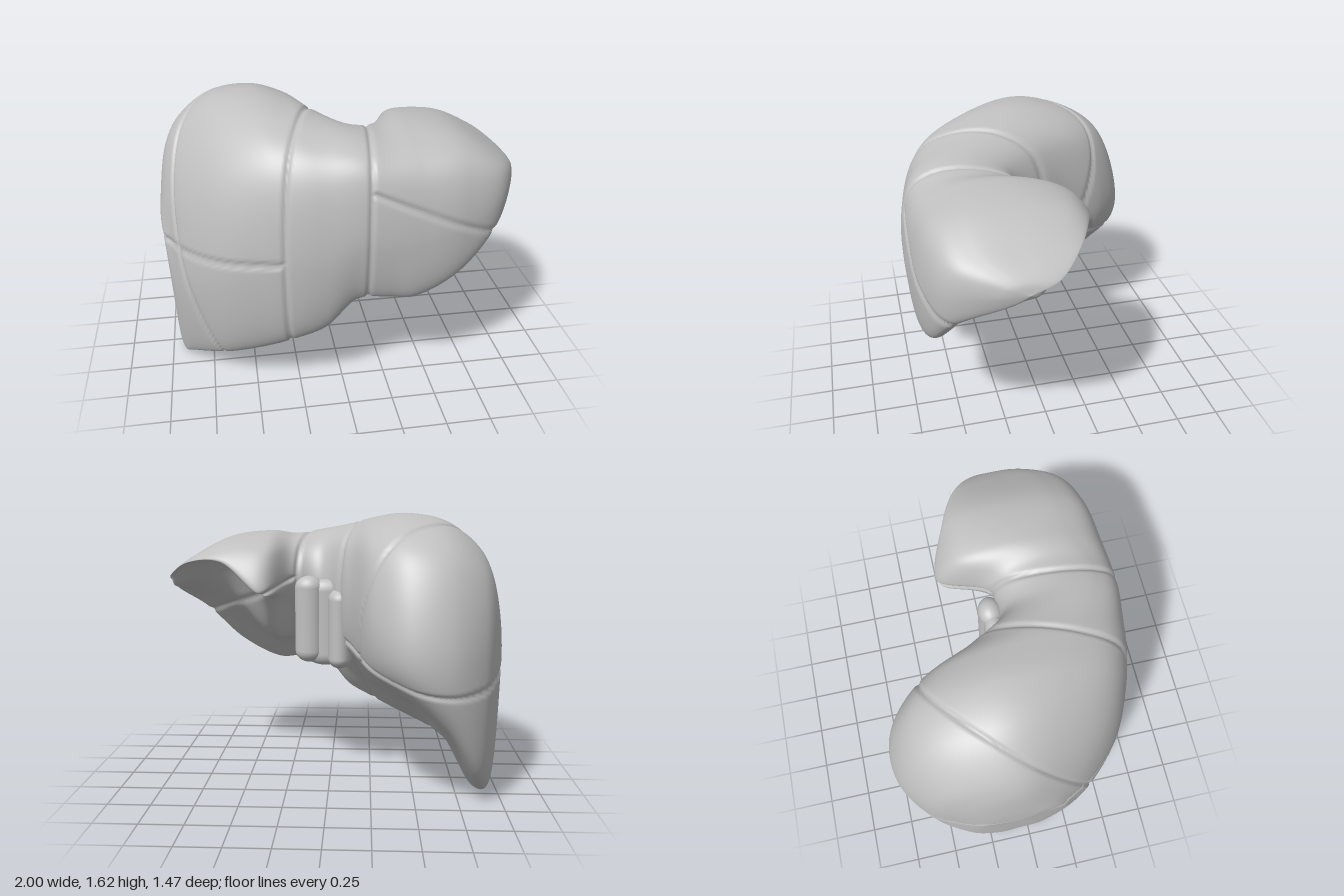
import * as THREE from 'three';

const { lerp, smoothstep } = THREE.MathUtils;
const RIGHT_END = new THREE.Vector3(-1, 0.82, -0.1);
const LEFT_END = new THREE.Vector3(1, 1.19, 0.22);

// Profiles along x: front and back depth, then heights of top, lower border, rear border, hollow
const X = [-0.98, -0.93, -0.85, -0.66, -0.43, -0.25, -0.11, 0.06, 0.22, 0.37, 0.62, 0.84, 0.975];
const FRONT = [0.12, 0.26, 0.39, 0.565, 0.665, 0.71, 0.725, 0.735, 0.74, 0.735, 0.7, 0.6, 0.36];
const BACK = [-0.27, -0.42, -0.57, -0.71, -0.715, -0.56, -0.23, 0.03, 0, -0.265, -0.18, -0.07, 0.07];
const TOP = [1.04, 1.29, 1.43, 1.57, 1.608, 1.58, 1.54, 1.505, 1.48, 1.5, 1.47, 1.355, 1.25];
const BORDER = [0.7, 0.04, 0.1, 0.2, 0.3, 0.38, 0.45, 0.63, 0.635, 0.625, 0.75, 0.98, 1.13];
const REAR = [0.84, 0.85, 0.88, 0.9, 0.95, 1.05, 1.15, 1.2, 1.25, 1.17, 1.345, 1.33, 1.24];
const HOLLOW = [0.68, 0.01, 0.04, 0.36, 0.6, 0.68, 0.76, 0.81, 0.84, 0.88, 1.13, 1.19, 1.17];

// Cross-section at one station: rounded arcs over the top, a hollow below
function section(x, i) {
  const p = (z, y) => new THREE.Vector3(x, y, z);
  const border = p(FRONT[i] - 0.09 + 0.05 * x, BORDER[i]);
  const front = p(FRONT[i], lerp(BORDER[i], TOP[i], 0.4));
  const top = p(lerp(FRONT[i], BACK[i], 0.58), TOP[i]);
  const back = p(BACK[i], REAR[i]);
  const hollow = p(lerp(BACK[i], border.z, 0.4), HOLLOW[i]);
  const arc = (side, angle, power) => p(
    lerp(top.z, side.z, Math.cos(angle) ** power), lerp(side.y, top.y, Math.sin(angle) ** power));
  // the front shoulder grows squarer away from the right end
  const square = lerp(0.92, 0.62, smoothstep(x, -0.9, -0.25));
  // the rear border is thick on the right side and thin on the left
  const thin = smoothstep(x, 0.1, 0.35);
  const lowBack = p(
    lerp(back.z, hollow.z, lerp(0.2, 0.4, thin)), lerp(back.y, hollow.y, lerp(0.75, 0.1, thin)));
  const bell = (centre, width) => Math.exp(-(((x - centre) / width) ** 2));
  const dome = 0.11 * bell(-0.64, 0.12) + 0.05 * bell(0.35, 0.2);
  const hollowFront = p(lerp(hollow.z, border.z, 0.52), (hollow.y + border.y) / 2 + dome);
  return [border, front, arc(front, 0.58, square), arc(front, 1.17, square), top, arc(back, 0.785, 1),
    back, lowBack, hollow, hollowFront];
}

// Depth of the furrows that divide the body into segments
function furrow({ x, y, z }) {
  const middle = (x + 0.1 + 0.34 * z) / 1.06;
  const left = (x - 0.2 + 0.13 * z) / 1.01;
  const cuts = [middle, left];
  if (left > 0) cuts.push((y - 1.28 + 0.457 * (x - 0.12)) / 1.1);
  if (middle < 0) {
    cuts.push((z + 0.115 + 0.918 * x + 0.457 * y) / 1.43);
    cuts.push(y - 0.93 - 0.1 * x - 0.25 * Math.min(z, 0));
  }
  const d = Math.min(...cuts.map(Math.abs));
  return 0.014 * Math.exp(-((d / 0.013) ** 2));
}

// Smooth skin through the sections, closed to a point at both ends
function bodyGeometry() {
  const along = 230, around = 300;
  const sections = X.map(section);
  const rails = sections[0].map((_, k) => new THREE.CatmullRomCurve3(
    [RIGHT_END, ...sections.map((s) => s[k]), LEFT_END]));
  const points = [], index = [];
  for (let i = 0; i <= along; i++) {
    const ring = new THREE.CatmullRomCurve3(
      rails.map((r) => r.getPoint(i / along)), true, 'catmullrom', 0.5);
    for (let j = 0; j < around; j++) {
      const end = i === 0 ? RIGHT_END : i === along ? LEFT_END : null;
      points.push(end || ring.getPoint(j / around));
      if (i === along) continue;
      const a = i * around + j, d = i * around + (j + 1) % around;
      const b = a + around, c = d + around;
      if (i < along - 1) index.push(a, b, c);
      if (i > 0) index.push(a, c, d);
    }
  }
  const geo = new THREE.BufferGeometry().setFromPoints(points);
  geo.setIndex(index);
  geo.computeVertexNormals();

  // press in the furrows
  const normal = new THREE.Vector3();
  points.forEach((point, i) => {
    normal.fromBufferAttribute(geo.attributes.normal, i).multiplyScalar(-furrow(point));
    normal.add(point);
    geo.attributes.position.setXYZ(i, normal.x, normal.y, normal.z);
  });
  geo.computeVertexNormals();
  return geo;
}

export function createModel() {
  const group = new THREE.Group();
  const grey = new THREE.MeshStandardMaterial({ color: 0xc0c0c0 });
  grey.name = 'soft grey';

  const add = (name, geo, x, y, z) => {
    const mesh = new THREE.Mesh(geo, grey);
    mesh.name = name;
    mesh.position.set(x, y, z);
    group.add(mesh);
    return mesh;
  };

  add('segmentedBody', bodyGeometry(), 0, 0, 0);

  // small rear lobe: two upright swellings joined by a waist
  const swelling = new THREE.CapsuleGeometry(0.07, 0.38, 10, 32);
  add('rearLobeLeft', swelling, 0.125, 0.99, -0.01).scale.set(1.2, 1, 1);
  add('rearLobeWaist', swelling, 0.03, 0.97, -0.005).scale.set(1.7, 1, 0.8);
  add('rearLobeRight', swelling, -0.06, 0.94, -0.05).scale.set(1, 0.92, 1.4);

  // vessel root in the hollow underside, with small stubs
  const knob = new THREE.SphereGeometry(0.1, 24, 16);
  add('vesselRoot', knob, 0, 0.81, 0.2).scale.set(0.9, 0.8, 1.1);
  for (let k = 0; k < 3; k++) {
    add('vesselStub', knob, -0.03 + 0.03 * k, 0.745, 0.25 - 0.03 * k).scale.setScalar(0.22);
  }
  return group;
}
